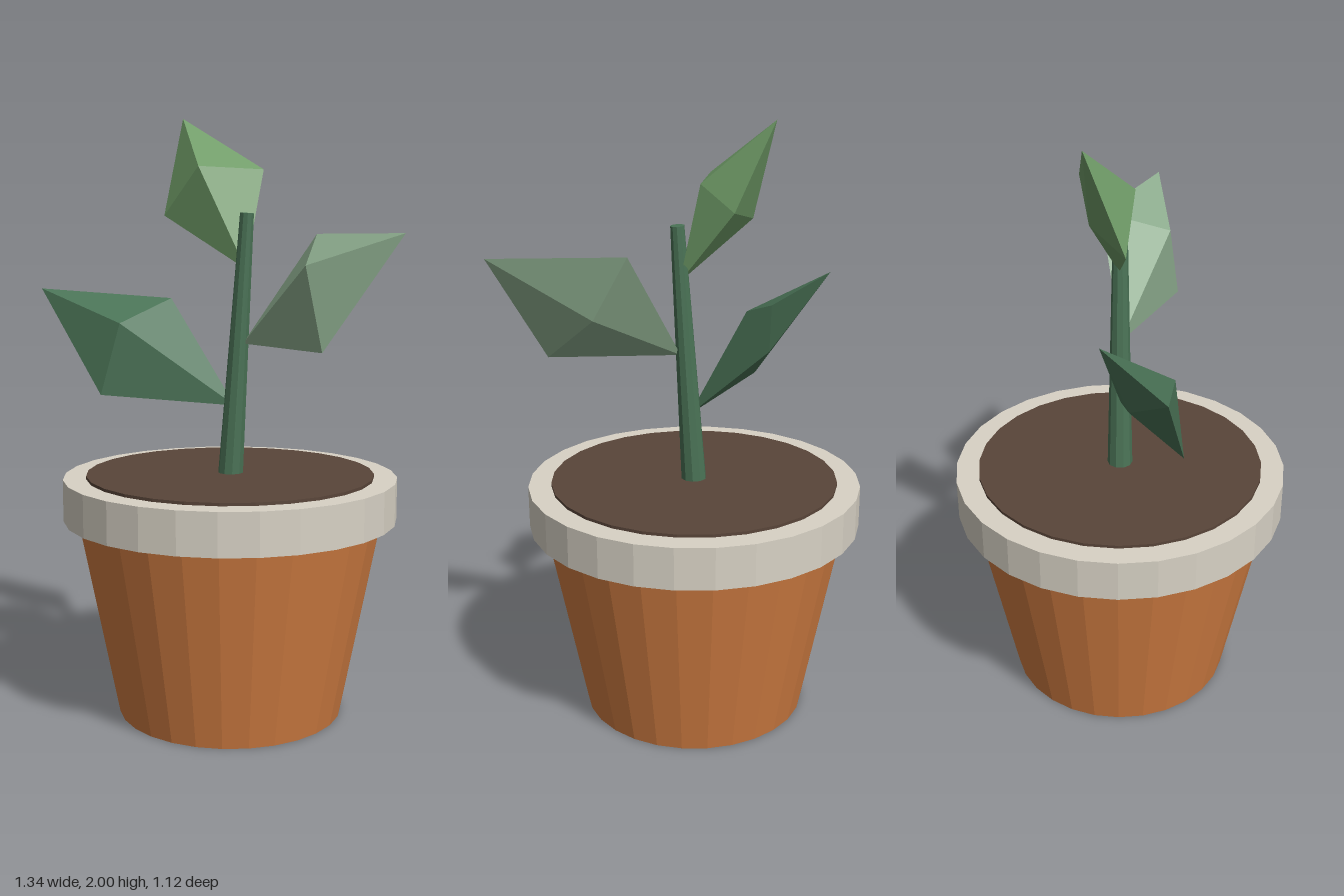
import * as THREE from 'three';

const SIDES = 28;

function mat(name, color) {
  const m = new THREE.MeshStandardMaterial({ color, flatShading: true });
  m.name = name;
  return m;
}

// Diamond leaf: tip, two side corners, ridge raised to the front, shallower keel behind
function leafGeometry(tip, upper, lower) {
  const t = new THREE.Vector3(...tip);
  const u = new THREE.Vector3(...upper);
  const l = new THREE.Vector3(...lower);
  const base = u.clone().add(l).sub(t);
  const centre = u.clone().add(l).multiplyScalar(0.5);
  const front = centre.clone().add(new THREE.Vector3(0, 0.083, 0.1));
  const back = centre.clone().add(new THREE.Vector3(0, -0.032, -0.039));

  let rim = [base, l, t, u];
  // Keep the rim counter-clockwise as seen from the front ridge
  const normal = l.clone().sub(base).cross(t.clone().sub(base));
  if (normal.dot(front.clone().sub(centre)) < 0) rim = rim.reverse();

  const points = [];
  rim.forEach((a, i) => {
    const b = rim[(i + 1) % 4];
    points.push(a, b, front, b, a, back);
  });
  const g = new THREE.BufferGeometry().setFromPoints(points);
  g.computeVertexNormals();
  return g;
}

export function createModel() {
  const model = new THREE.Group();
  model.name = 'pottedPlant';

  const terracotta = mat('terracotta', 0xd17d42);
  const stone = mat('pale stone', 0xd8d2c5);
  const earth = mat('dark earth', 0x594539);
  const deepGreen = mat('deep green', 0x4a7356);
  const midGreen = mat('mid green', 0x6f9b67);
  const paleGreen = mat('pale green', 0x8cab8d);

  const add = (name, geometry, material) => {
    const mesh = new THREE.Mesh(geometry, material);
    mesh.name = name;
    model.add(mesh);
    return mesh;
  };

  // Tapered pot
  add('pot', new THREE.CylinderGeometry(0.515, 0.38, 0.69, SIDES).translate(0, 0.345, 0), terracotta);

  // Rim collar and soil
  add('rim', new THREE.CylinderGeometry(0.56, 0.56, 0.14, SIDES).translate(0, 0.74, 0), stone);
  add('soil', new THREE.CylinderGeometry(0.483, 0.483, 0.04, SIDES).translate(0, 0.8, 0), earth);

  // Leaning, tapered stem
  const bottom = new THREE.Vector3(0.0, 0.79, 0);
  const top = new THREE.Vector3(0.063, 1.682, 0);
  const axis = top.clone().sub(bottom);
  const stem = add('stem', new THREE.CylinderGeometry(0.023, 0.043, axis.length(), 10), deepGreen);
  stem.position.copy(bottom).add(top).multiplyScalar(0.5);
  stem.quaternion.setFromUnitVectors(new THREE.Vector3(0, 1, 0), axis.normalize());

  // Leaves
  add('rightLeaf', leafGeometry([-0.67, 1.427, 0.14], [-0.267, 1.395, -0.06], [-0.385, 1.08, 0.2]), deepGreen);
  add('leftLeaf', leafGeometry([0.665, 1.618, 0.13], [0.283, 1.615, -0.067], [0.432, 1.26, 0.2]), paleGreen);
  add('topLeaf', leafGeometry([-0.242, 2.0, -0.103], [0.057, 1.826, -0.126], [-0.242, 1.675, 0.02]), midGreen);

  return model;
}
